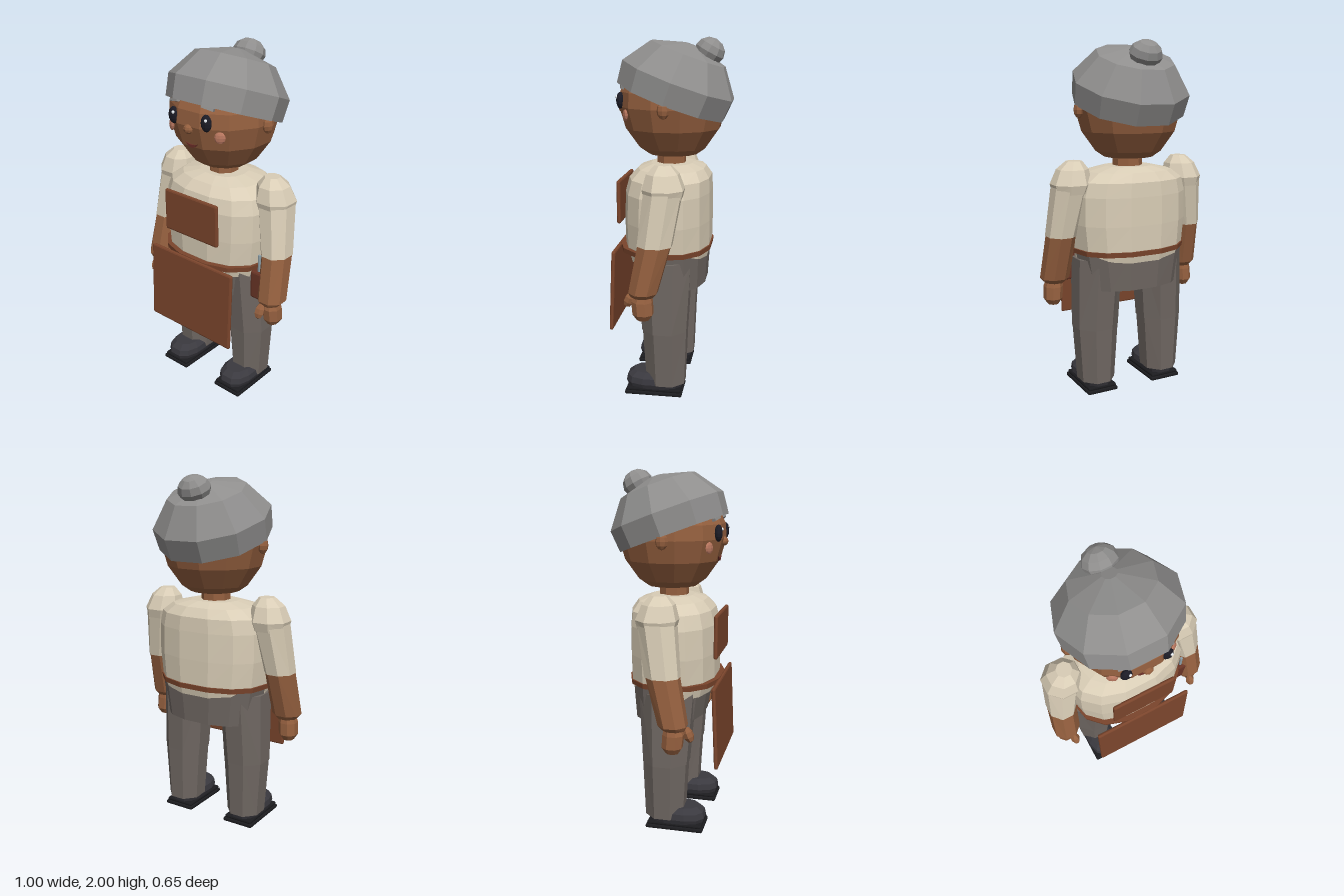
import * as THREE from 'three';
import { RoundedBoxGeometry } from 'three/addons/geometries/RoundedBoxGeometry.js';

const mat = (color, side = THREE.FrontSide) =>
  new THREE.MeshStandardMaterial({ color, flatShading: true, side });

const SKIN = mat(0x95603f), HAIR = mat(0x8f8e8d, THREE.DoubleSide), SHIRT = mat(0xd9cdb6);
const TROUSER = mat(0x6f6762), SHOE = mat(0x3a393f), SOLE = mat(0x1c1c1f);
const LEATHER = mat(0x7b452c), POUCH = mat(0x6a3526), EYE = mat(0x1c1c26);
const SHINE = mat(0xe8eef2), CHEEK = mat(0xb9775f), MOUTH = mat(0x6b2f28), STEEL = mat(0x8ea0a8);

// Skin over horizontal rings [x, y, z, rx, rz], listed bottom to top; power < 1 squares the outline
function loft(rings, sides, { power = 1, openBottom = false } = {}) {
  const pos = [], idx = [];
  const bend = (v) => Math.sign(v) * Math.pow(Math.abs(v), power);
  for (const [x, y, z, rx, rz = rx] of rings) {
    for (let j = 0; j < sides; j++) {
      const t = ((j + 0.5) / sides) * Math.PI * 2;
      pos.push(x + rx * bend(Math.sin(t)), y, z + rz * bend(Math.cos(t)));
    }
  }
  const last = (rings.length - 1) * sides, base = rings.length * sides;
  pos.push(...rings[0].slice(0, 3), ...rings[rings.length - 1].slice(0, 3));
  for (let j = 0; j < sides; j++) {
    const k = (j + 1) % sides;
    for (let i = 0; i < last; i += sides) {
      idx.push(i + j, i + k, i + sides + k, i + j, i + sides + k, i + sides + j);
    }
    if (!openBottom) idx.push(base, k, j);
    idx.push(base + 1, last + j, last + k);
  }
  const geo = new THREE.BufferGeometry();
  geo.setAttribute('position', new THREE.Float32BufferAttribute(pos, 3));
  geo.setIndex(idx);
  const flat = geo.toNonIndexed();
  flat.computeVertexNormals();
  return flat;
}

function add(parent, name, geo, material, x = 0, y = 0, z = 0) {
  const mesh = new THREE.Mesh(geo, material);
  mesh.name = name;
  mesh.position.set(x, y, z);
  parent.add(mesh);
  return mesh;
}

// Faceted ellipsoid
const blob = (rx, ry, rz, w = 8, h = 6) => new THREE.SphereGeometry(1, w, h).scale(rx, ry, rz);

function buildHead() {
  const head = new THREE.Group();
  head.name = 'head';
  add(head, 'skull', loft([
    [0, 1.365, 0, 0.14], [0, 1.40, 0, 0.19], [0, 1.51, 0, 0.268], [0, 1.63, 0, 0.302],
    [0, 1.71, 0, 0.295], [0, 1.80, 0, 0.25], [0, 1.88, 0, 0.17],
  ], 12), SKIN);
  add(head, 'nose', blob(0.03, 0.026, 0.026), SKIN, 0, 1.615, 0.288);

  // Smile: a thin crescent
  const smile = new THREE.Shape();
  smile.moveTo(-0.042, 1.533);
  smile.quadraticCurveTo(0, 1.515, 0.042, 1.533);
  smile.quadraticCurveTo(0, 1.482, -0.042, 1.533);
  add(head, 'mouth', new THREE.ExtrudeGeometry(smile, { depth: 0.03, bevelEnabled: false, curveSegments: 5 }), MOUTH, 0, 0, 0.24);

  for (const s of [-1, 1]) {
    add(head, 'eye', blob(0.032, 0.046, 0.022, 10, 8), EYE, s * 0.113, 1.665, 0.277);
    add(head, 'eyeShine', blob(0.009, 0.009, 0.008), SHINE, s * 0.113 + 0.012, 1.685, 0.295);
    add(head, 'cheek', blob(0.03, 0.032, 0.012), CHEEK, s * 0.17, 1.59, 0.238).rotation.y = s * 0.52;
    const brow = add(head, 'brow', new THREE.BoxGeometry(0.07, 0.015, 0.02), HAIR, s * 0.115, 1.742, 0.265);
    brow.rotation.set(-0.3, s * 0.3, -s * 0.12);
    add(head, 'ear', blob(0.028, 0.045, 0.034), SKIN, s * 0.3, 1.63, 0.01);
  }

  // Hair shell, tipped backwards, with a bun
  const hair = add(head, 'hair', loft([
    [0, 0, 0, 0.322], [0, 0.125, 0, 0.333], [0, 0.275, 0, 0.22], [0, 0.325, 0, 0.04],
  ], 10, { openBottom: true }), HAIR, 0, 1.655, 0.01);
  hair.rotation.x = -0.35;
  add(head, 'bun', blob(0.095, 0.075, 0.085, 10, 6), HAIR, 0, 1.925, -0.2).rotation.x = -0.5;
  return head;
}

function buildArm() {
  const arm = new THREE.Group();
  arm.name = 'arm';
  add(arm, 'shoulder', loft([
    [0.36, 1.18, 0, 0.1, 0.105], [0.355, 1.23, 0, 0.118], [0.345, 1.31, 0.005, 0.09], [0.335, 1.355, 0.005, 0.045],
  ], 8), SHIRT);
  add(arm, 'sleeve', loft([[0.405, 0.935, 0.04, 0.088, 0.098], [0.36, 1.22, 0, 0.108, 0.108]], 8), SHIRT);
  add(arm, 'forearm', loft([
    [0.425, 0.655, 0.105, 0.06, 0.065], [0.424, 0.68, 0.1, 0.084, 0.082], [0.405, 0.94, 0.04, 0.084, 0.094],
  ], 8), SKIN);
  add(arm, 'hand', loft([
    [0.437, 0.527, 0.1, 0.032, 0.035], [0.437, 0.56, 0.1, 0.054, 0.058],
    [0.432, 0.63, 0.105, 0.056, 0.06], [0.43, 0.67, 0.1, 0.045],
  ], 8), SKIN);
  add(arm, 'thumb', blob(0.028, 0.046, 0.03, 6, 5), SKIN, 0.405, 0.625, 0.18).rotation.x = -0.4;
  return arm;
}

function buildLeg() {
  const leg = new THREE.Group();
  leg.name = 'leg';
  add(leg, 'thigh', loft([[0.212, 0.39, 0.015, 0.134, 0.136], [0.195, 0.8, 0.02, 0.145, 0.165]], 8), TROUSER);
  add(leg, 'shin', loft([[0.213, 0.065, 0.01, 0.108, 0.118], [0.212, 0.4, 0.013, 0.132, 0.134]], 8), TROUSER);
  add(leg, 'shoe', loft([
    [0.21, 0.03, 0.075, 0.085, 0.155], [0.21, 0.065, 0.075, 0.1, 0.168],
    [0.21, 0.1, 0.075, 0.096, 0.16], [0.21, 0.128, 0.075, 0.07, 0.125],
  ], 12, { power: 0.75 }), SHOE);
  add(leg, 'sole', new RoundedBoxGeometry(0.19, 0.022, 0.33, 1, 0.008), SOLE, 0.21, 0.011, 0.075);
  add(leg, 'welt', new RoundedBoxGeometry(0.175, 0.02, 0.315, 1, 0.008), SOLE, 0.21, 0.03, 0.075);
  return leg;
}

function buildTorso() {
  const torso = new THREE.Group();
  torso.name = 'torso';
  add(torso, 'neck', loft([[0, 1.28, 0.01, 0.085], [0, 1.42, 0.01, 0.082]], 8), SKIN);
  add(torso, 'shirt', loft([
    [0, 0.775, 0.018, 0.315, 0.225], [0, 0.86, 0.022, 0.33, 0.245], [0, 1.0, 0.022, 0.345, 0.247],
    [0, 1.16, 0.02, 0.345, 0.243], [0, 1.24, 0.012, 0.322, 0.23], [0, 1.29, 0.005, 0.25, 0.19],
    [0, 1.315, 0.005, 0.14, 0.12],
  ], 14, { power: 0.85 }), SHIRT);
  add(torso, 'hips', loft([[0, 0.63, 0, 0.29, 0.2], [0, 0.83, 0.01, 0.325, 0.222]], 14, { power: 0.85 }), TROUSER);
  return torso;
}

function buildApron() {
  const apron = new THREE.Group();
  apron.name = 'apron';
  add(apron, 'waistStrap', loft([
    [0, 0.83, 0.033, 0.337, 0.262], [0, 0.858, 0.033, 0.341, 0.264],
  ], 14, { power: 0.85 }), LEATHER);
  const skirt = add(apron, 'skirt', new RoundedBoxGeometry(0.6, 0.465, 0.022, 1, 0.01), LEATHER, 0, 0.622, 0.302);
  skirt.rotation.x = -0.045;
  add(apron, 'bib', new RoundedBoxGeometry(0.38, 0.245, 0.022, 1, 0.01), LEATHER, 0, 1.108, 0.282);
  // Tool pouch on the left hip
  add(apron, 'pouch', new RoundedBoxGeometry(0.08, 0.17, 0.07, 1, 0.012), POUCH, 0.345, 0.745, 0.11);
  add(apron, 'tool', new THREE.CylinderGeometry(0.009, 0.009, 0.16, 6), STEEL, 0.35, 0.85, 0.12);
  return apron;
}

export function createModel() {
  const model = new THREE.Group();
  model.name = 'figure';
  model.add(buildHead(), buildTorso(), buildApron());
  // Limbs, mirrored across x
  for (const [side, s] of [['left', 1], ['right', -1]]) {
    for (const [part, build] of [['Arm', buildArm], ['Leg', buildLeg]]) {
      const limb = build();
      limb.name = side + part;
      limb.scale.x = s;
      model.add(limb);
    }
  }
  return model;
}
